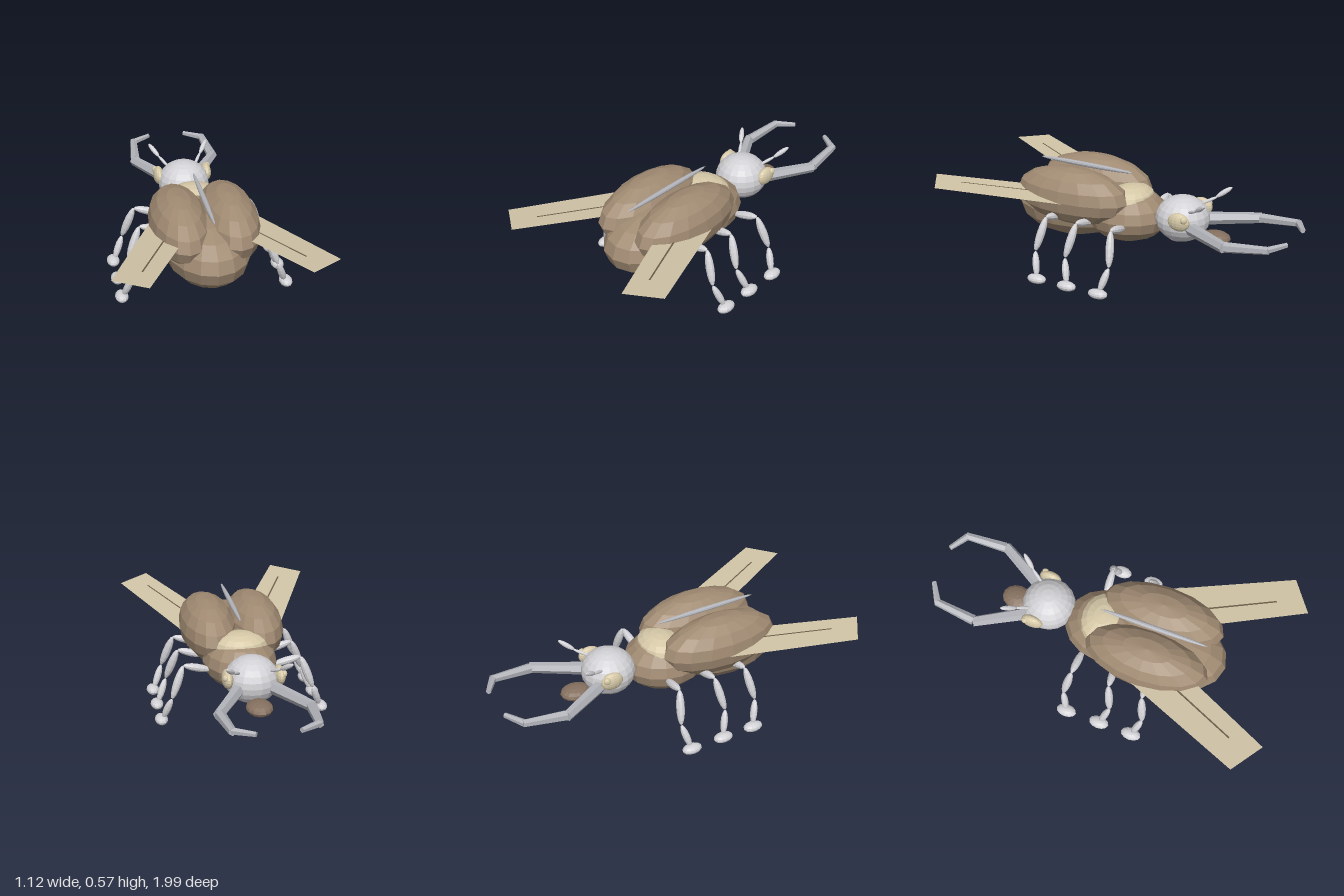
import * as THREE from 'three';

const mat = (name, color, side = THREE.FrontSide) => {
  const m = new THREE.MeshStandardMaterial({ color, flatShading: true, side });
  m.name = name;
  return m;
};

export function createModel() {
  const brown = mat('shell brown', 0xa08a72);
  const darkBrown = mat('mouth brown', 0x85705f);
  const beige = mat('eye beige', 0xd6c9a8);
  const wingBeige = mat('wing beige', 0xd0c4a6, THREE.DoubleSide);
  const vein = mat('vein brown', 0x6b5d4a);
  const light = mat('light grey', 0xd2d2d6);
  const grey = mat('mandible grey', 0xb2b4ba);

  const model = new THREE.Group();
  model.name = 'beetle';
  const V = (p) => new THREE.Vector3(...p);

  const add = (name, geometry, material) => {
    const m = new THREE.Mesh(geometry, material);
    m.name = name;
    model.add(m);
    return m;
  };
  const ellipsoid = (name, center, radii, material, w = 16, h = 8) => {
    const m = add(name, new THREE.SphereGeometry(1, w, h), material);
    m.position.set(...center);
    m.scale.set(...radii);
    return m;
  };
  // Aligns a mesh's y axis with the line from a to b
  const align = (m, a, b) => {
    const p = V(a), q = V(b);
    m.position.copy(p).lerp(q, 0.5);
    m.quaternion.setFromUnitVectors(new THREE.Vector3(0, 1, 0), q.sub(p).normalize());
    return m;
  };
  const spindle = (name, a, b, r, material) =>
    align(ellipsoid(name, [0, 0, 0], [r, V(a).distanceTo(V(b)) / 2, r], material, 10, 8), a, b);
  const rod = (name, a, b, r0, r1, material) =>
    align(add(name, new THREE.CylinderGeometry(r1, r0, V(a).distanceTo(V(b)), 6), material), a, b);

  // Body and head
  ellipsoid('abdomen', [0, 0.32, 0.35], [0.23, 0.176, 0.33], brown);
  ellipsoid('thorax', [0, 0.32, 0], [0.205, 0.15, 0.24], brown);
  ellipsoid('scutellum', [0, 0.42, -0.03], [0.15, 0.065, 0.12], beige);
  ellipsoid('head', [0, 0.355, -0.345], [0.145, 0.125, 0.147], light, 18, 12);
  ellipsoid('mouth', [0, 0.28, -0.54], [0.07, 0.036, 0.085], darkBrown, 14, 8);
  spindle('backSpine', [0, 0.553, -0.04], [0, 0.553, 0.56], 0.014, grey);

  // Flat quad wing rising towards its tip
  const plate = (name, corners, lift, material) => {
    const g = new THREE.BufferGeometry();
    const pts = corners.flatMap(([x, z]) => [x, 0.39 + 0.1 * z + lift, z]);
    g.setAttribute('position', new THREE.Float32BufferAttribute(pts, 3));
    g.setIndex([0, 1, 2, 0, 2, 3]);
    g.computeVertexNormals();
    add(name, g, material);
  };

  for (const s of [1, -1]) {
    const side = s > 0 ? 'left' : 'right';
    const M = ([x, y, z]) => [x * s, y, z];

    ellipsoid(side + 'WingCase', M([0.132, 0.417, 0.268]), [0.158, 0.159, 0.348], brown);

    // Corners reverse on the mirrored side so both wings face up
    const corners = [[0.22, 0.08], [0.05, 0.3], [0.393, 0.998], [0.56, 0.88]].map(([x, z]) => [x * s, z]);
    plate(side + 'Wing', s > 0 ? corners : corners.reverse(), 0, wingBeige);
    const line = [[0.204, 0.38], [0.196, 0.384], [0.4, 0.823], [0.407, 0.818]].map(([x, z]) => [x * s, z]);
    plate(side + 'WingVein', s > 0 ? line : line.reverse(), 0.003, vein);

    // Eye with raised pupil
    ellipsoid(side + 'Eye', M([0.138, 0.385, -0.39]), [0.03, 0.05, 0.063], beige, 14, 10);
    ellipsoid(side + 'Pupil', M([0.154, 0.405, -0.425]), [0.016, 0.02, 0.02], beige, 10, 8);

    // Antenna
    spindle(side + 'AntennaStalk', M([0.075, 0.42, -0.41]), M([0.125, 0.462, -0.49]), 0.009, light);
    spindle(side + 'AntennaTip', M([0.12, 0.458, -0.48]), M([0.17, 0.512, -0.552]), 0.014, light);

    // Mandible in three curved-in sections
    rod(side + 'MandibleBase', M([0.08, 0.34, -0.42]), M([0.24, 0.342, -0.7]), 0.036, 0.029, grey);
    rod(side + 'MandibleMiddle', M([0.232, 0.343, -0.7]), M([0.212, 0.365, -0.93]), 0.029, 0.021, grey);
    rod(side + 'MandibleTip', M([0.213, 0.365, -0.92]), M([0.11, 0.37, -0.985]), 0.02, 0.014, grey);

    // Legs
    [['front', -0.08], ['middle', 0.115], ['rear', 0.305]].forEach(([row, z], i) => {
      const name = side + row[0].toUpperCase() + row.slice(1);
      const bend = i === 0 ? -0.035 : 0.042;
      const hip = M([0.17, 0.3, z]);
      const knee = M([0.325, 0.342, z + bend * 0.25]);
      const ankle = M([0.393, 0.16, z + bend]);
      spindle(name + 'Thigh', hip, knee, 0.022, light);
      spindle(name + 'Shin', knee, ankle, 0.023, light);
      spindle(name + 'Ankle', ankle, M([0.442, 0.035, z + bend * 0.1]), 0.02, light);
      ellipsoid(name + 'Foot', M([0.45, 0.027, z]), [0.036, 0.026, 0.057], light, 12, 8);
    });
  }
  return model;
}
